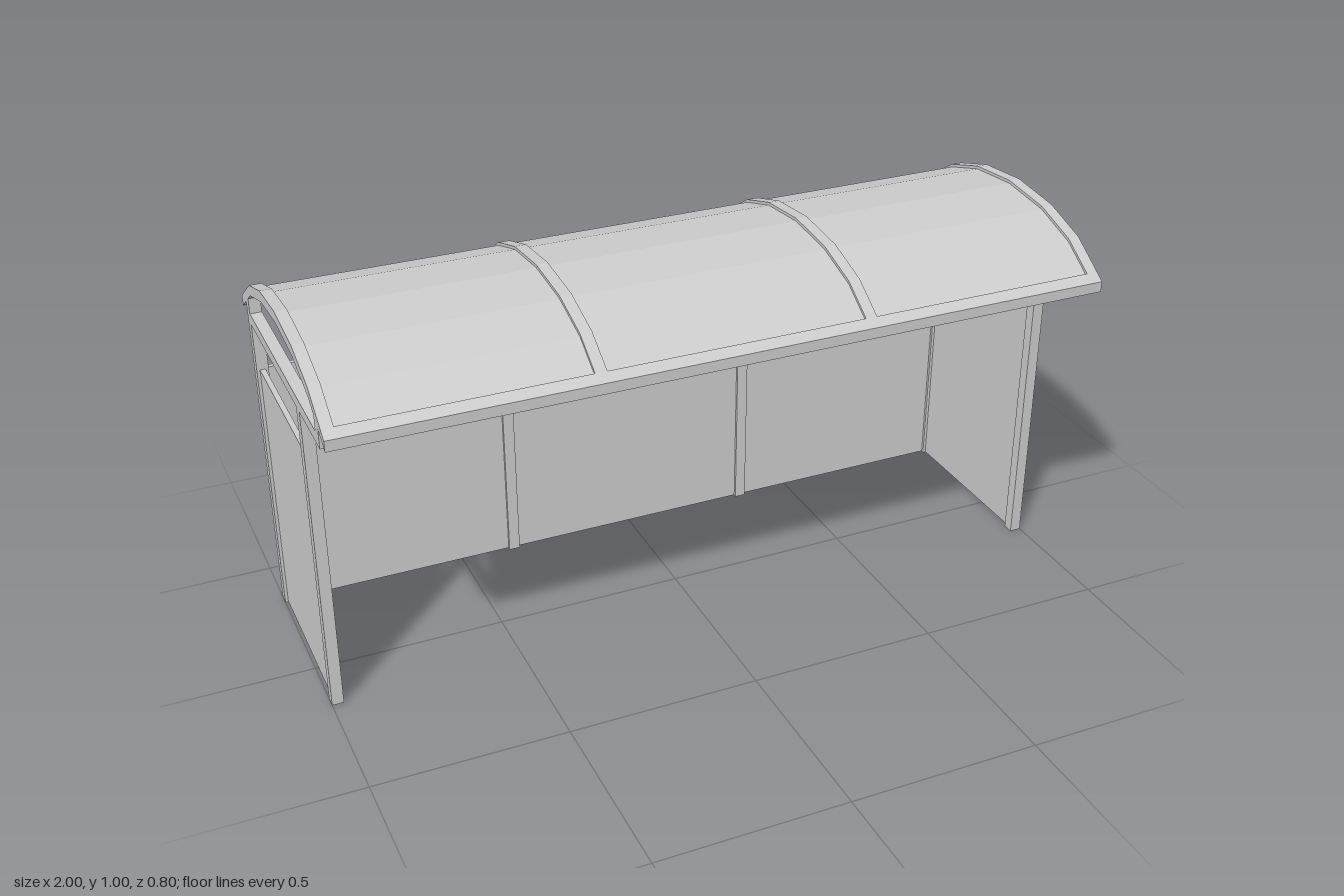
import * as THREE from 'three';

const BAR = 0.03;                          // square section of the frame bars
const FRAMES = [-0.985, -0.35, 0.35, 0.985]; // frame positions along x
// Upper line of the arched roof, as [z, y]
const ARCH = [[-0.4, 0.873], [-0.375, 0.89], [-0.283, 0.95], [-0.155, 0.99], [0, 1.005],
  [0.155, 0.99], [0.283, 0.95], [0.375, 0.89], [0.4, 0.873]];

export function createModel() {
  const group = new THREE.Group();
  const material = new THREE.MeshStandardMaterial({ color: 0xcccccc, flatShading: true });

  const add = (name, geometry) => {
    const mesh = new THREE.Mesh(geometry, material);
    mesh.name = name;
    group.add(mesh);
  };

  // Box given by its limits on each axis
  const box = (name, x0, x1, y0, y1, z0, z1) => {
    const g = new THREE.BoxGeometry(x1 - x0, y1 - y0, z1 - z0);
    g.translate((x0 + x1) / 2, (y0 + y1) / 2, (z0 + z1) / 2);
    add(name, g);
  };

  // Strip that follows a line of [z, y] points, extruded along x
  const strip = (name, line, drop, thickness, x0, x1) => {
    const top = line.map(([z, y]) => new THREE.Vector2(z, y - drop));
    const bottom = line.map(([z, y]) => new THREE.Vector2(z, y - drop - thickness)).reverse();
    const g = new THREE.ExtrudeGeometry(new THREE.Shape([...top, ...bottom]),
      { depth: x1 - x0, bevelEnabled: false });
    g.rotateY(-Math.PI / 2);
    g.translate(x1, 0, 0);
    add(name, g);
  };

  // Rear posts and roof ribs
  for (const x of FRAMES) {
    box('rearPost', x - BAR / 2, x + BAR / 2, 0, 0.9, -0.35, -0.32);
    strip('roofRib', ARCH, 0, 0.028, x - BAR / 2, x + BAR / 2);
  }

  // Bays between frames: roof sheet, eaves and back panel
  for (let i = 0; i < FRAMES.length - 1; i++) {
    const x0 = FRAMES[i] + BAR / 2, x1 = FRAMES[i + 1] - BAR / 2;
    strip('roofSheet', ARCH.slice(1, -1), 0.008, 0.012, x0, x1);
    strip('rearEave', ARCH.slice(0, 2), 0, 0.028, x0, x1);
    strip('frontEave', ARCH.slice(-2), 0, 0.028, x0, x1);
    box('backPanel', x0, x1, 0.002, 0.7, -0.342, -0.328);
  }

  // End walls: front post, crossbeam, roof strut and side panel
  for (const x of [FRAMES[0], FRAMES[3]]) {
    const x0 = x - BAR / 2, x1 = x + BAR / 2;
    box('frontPost', x0, x1, 0, 0.827, 0.136, 0.166);
    box('crossbeam', x0, x1, 0.827, 0.857, -0.32, 0.35);
    box('roofStrut', x0, x1, 0.857, 0.9, 0.32, 0.35);
    box('sidePanel', x - 0.007, x + 0.007, 0.002, 0.7, -0.32, 0.136);
  }

  return group;
}
